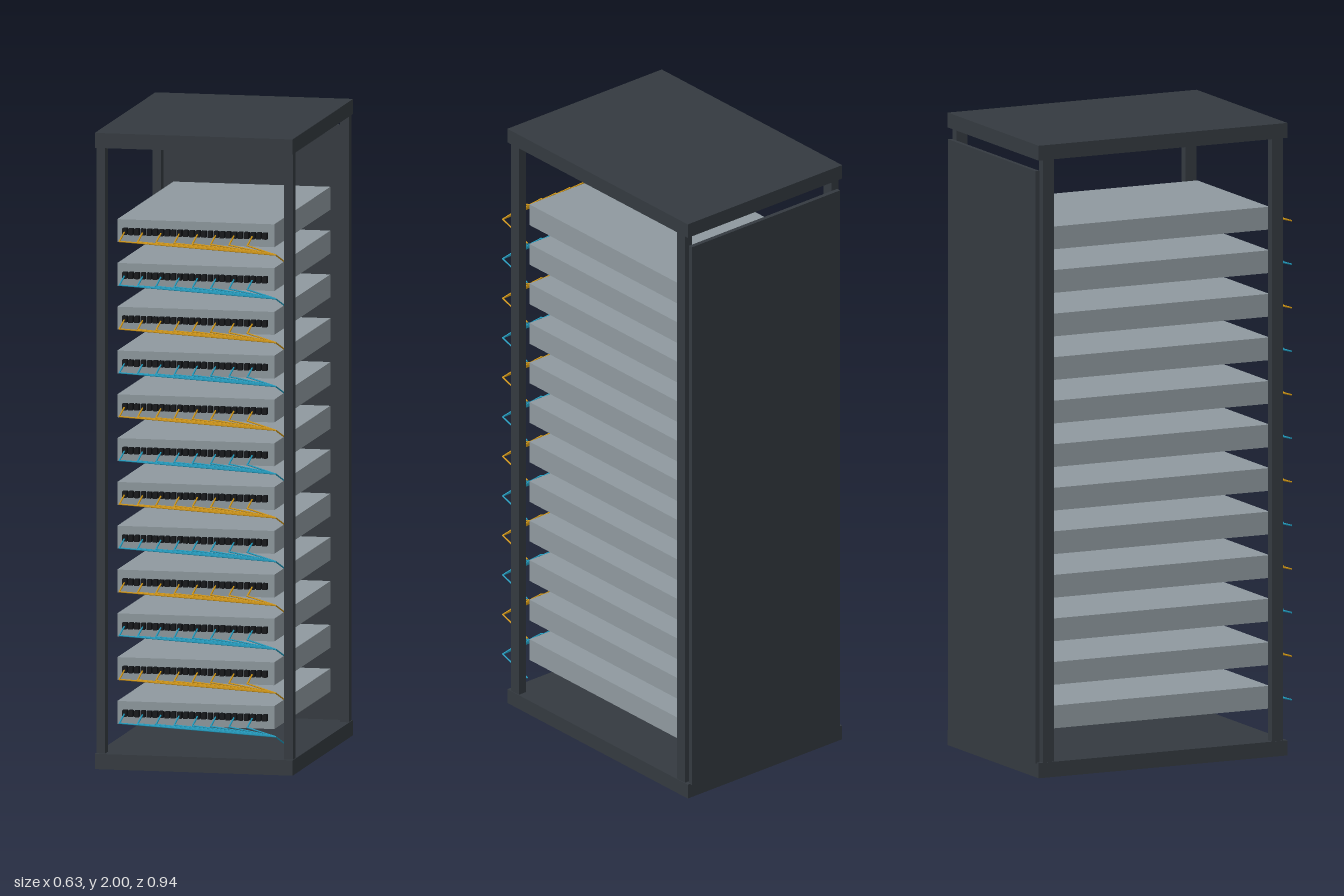
import * as THREE from 'three';
import { mergeGeometries } from 'three/addons/utils/BufferGeometryUtils.js';

const mat = (color) => new THREE.MeshStandardMaterial({ color });

// Box given by its min and max on each axis
function box(x0, x1, y0, y1, z0, z1) {
  const g = new THREE.BoxGeometry(x1 - x0, y1 - y0, z1 - z0);
  return g.translate((x0 + x1) / 2, (y0 + y1) / 2, (z0 + z1) / 2);
}

function add(parent, name, geometry, material) {
  const mesh = new THREE.Mesh(geometry, material);
  mesh.name = name;
  parent.add(mesh);
  return mesh;
}

// Thin straight rod between two points
function rod(a, b, radius) {
  const dir = b.clone().sub(a);
  const g = new THREE.CylinderGeometry(radius, radius, dir.length() + radius, 6);
  const q = new THREE.Quaternion().setFromUnitVectors(new THREE.Vector3(0, 1, 0), dir.normalize());
  return g.applyQuaternion(q).translate((a.x + b.x) / 2, (a.y + b.y) / 2, (a.z + b.z) / 2);
}

// Patch cable: out of the port, across to the side, back into the rack
function cable(x) {
  const p = [
    new THREE.Vector3(x, 0, 0.385),
    new THREE.Vector3(x, -0.02, 0.46),
    new THREE.Vector3(0.276, -0.045, 0.468),
    new THREE.Vector3(0.276, -0.082, 0.35),
  ];
  return [0, 1, 2].map((i) => rod(p[i], p[i + 1], 0.0025));
}

export function createModel() {
  const rack = new THREE.Group();
  rack.name = 'serverRack';
  const frameMat = mat(0x343a40);
  const serverMat = mat(0x8f999f);
  const portMat = mat(0x111417);
  const cableMats = [mat(0x22a0c4), mat(0xd69a14)];

  // Frame: base, roof, four posts and back panel
  add(rack, 'base', box(-0.315, 0.315, 0, 0.048, -0.465, 0.4), frameMat);
  add(rack, 'roof', box(-0.315, 0.315, 1.953, 2, -0.465, 0.4), frameMat);
  for (const side of [-1, 1]) {
    for (const [name, z] of [['frontPost', 0.366], ['rearPost', -0.43]]) {
      const post = add(rack, name, box(-0.014, 0.014, 0.04, 1.96, -0.019, 0.019), frameMat);
      post.position.set(side * 0.299, 0, z);
    }
  }
  add(rack, 'backPanel', box(-0.303, 0.303, 0.045, 1.918, -0.47, -0.456), frameMat);

  // Shared geometry for one server unit, centred on its own height
  const pitch = 0.0194;
  const portX = (i) => (i - 11.5) * pitch;
  const bodyGeo = box(-0.25, 0.25, -0.036, 0.036, -0.43, 0.37);
  const ports = [];
  const cables = [];
  for (let i = 0; i < 24; i++) {
    const x = portX(i);
    ports.push(box(x - 0.007, x + 0.007, -0.01, 0.01, 0.365, 0.392));
    if (i % 3 === 0) cables.push(...cable(x));
  }
  const portGeo = mergeGeometries(ports);
  const cableGeo = mergeGeometries(cables);

  // Stack of twelve units with alternating cable colours
  for (let i = 0; i < 12; i++) {
    const unit = new THREE.Group();
    unit.name = 'serverUnit';
    unit.position.y = 0.176 + i * 0.1377;
    add(unit, 'serverBody', bodyGeo, serverMat);
    add(unit, 'ports', portGeo, portMat);
    add(unit, 'cables', cableGeo, cableMats[i % 2]);
    rack.add(unit);
  }
  return rack;
}
